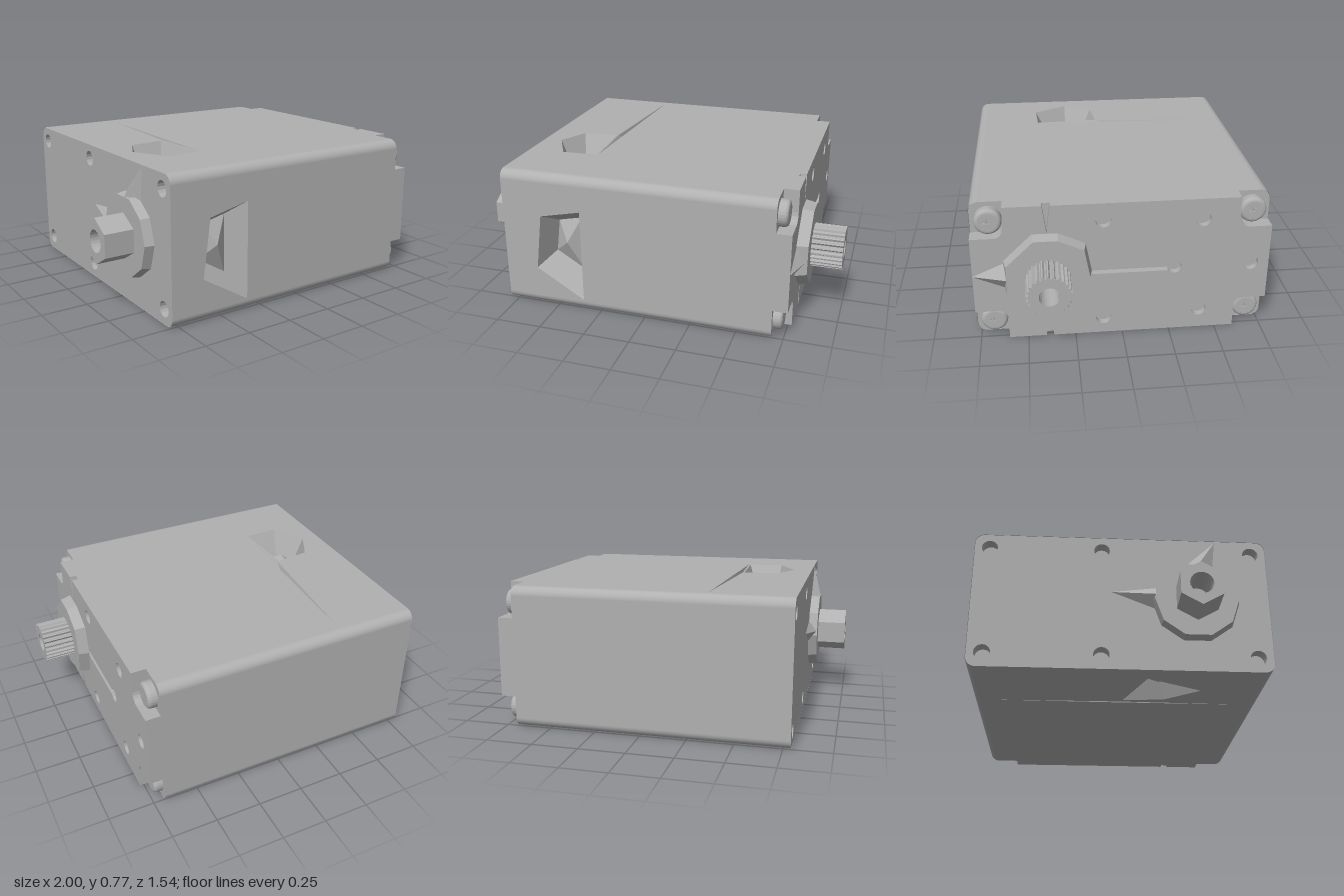
import * as THREE from 'three';

const CY = 0.395, HY = 0.385, HZ = 0.77, R = 0.05; // body mid-height, half height, half depth, edge radius
const BACK = -0.79, STEP = 0.69, FACE = 0.77;      // stations along x

export function createModel() {
  const group = new THREE.Group();
  group.name = 'servoMotor';
  const grey = new THREE.MeshStandardMaterial({ color: 0xb0b0b0, side: THREE.DoubleSide });
  grey.name = 'grey casing';

  const add = (name, geometry) => {
    const mesh = new THREE.Mesh(geometry, grey);
    mesh.name = name;
    group.add(mesh);
    return mesh;
  };

  // Shapes are given as [z, y] points and extruded along +x.
  const toShape = (pts) => new THREE.Shape(pts.map(([z, y]) => new THREE.Vector2(-z, y)));
  const circle = (z, y, r, n = 24, from = 0, sweep = Math.PI * 2) =>
    Array.from({ length: n }, (_, i) => {
      const a = from + (sweep * i) / n;
      return [z + r * Math.cos(a), y + r * Math.sin(a)];
    });
  const alongX = (name, pts, holes, x, depth, bevel = {}) => {
    const shape = toShape(pts);
    shape.holes = holes.map(toShape);
    const g = new THREE.ExtrudeGeometry(shape, { depth, bevelEnabled: false, ...bevel });
    g.rotateY(Math.PI / 2);
    g.translate(x, 0, 0);
    return add(name, g);
  };
  const roundedRect = (hz, hy, r) => [[1, 1], [-1, 1], [-1, -1], [1, -1]].flatMap(([sz, sy], k) =>
    circle(sz * (hz - r), CY + sy * (hy - r), r, 9, k * Math.PI / 2, Math.PI / 2 * 9 / 8));

  // Faceted loft from an outline to a smaller one at depth d (negative d raises it).
  const loft = (name, map, pts, d, scale, tip = d) => {
    const n = pts.length;
    const ca = pts.reduce((s, p) => s + p[0], 0) / n, cb = pts.reduce((s, p) => s + p[1], 0) / n;
    const outer = pts.map(([a, b]) => map(a, b, 0));
    const inner = pts.map(([a, b]) => map(ca + (a - ca) * scale, cb + (b - cb) * scale, d));
    const centre = map(ca, cb, tip);
    const v = [];
    for (let i = 0; i < n; i++) {
      const j = (i + 1) % n;
      v.push(...outer[i], ...outer[j], ...inner[j], ...outer[i], ...inner[j], ...inner[i]);
      v.push(...inner[i], ...inner[j], ...centre);
    }
    const g = new THREE.BufferGeometry();
    g.setAttribute('position', new THREE.Float32BufferAttribute(v, 3));
    g.computeVertexNormals();
    return add(name, g);
  };

  // Flat casing wall with openings, each lined by a pocket.
  const wall = (name, map, halfB, midB, pockets) => {
    const v2 = (p) => new THREE.Vector2(...p);
    const shape = new THREE.Shape([[BACK, midB - halfB], [STEP, midB - halfB],
      [STEP, midB + halfB], [BACK, midB + halfB]].map(v2));
    shape.holes = pockets.map((p) => new THREE.Path(p.pts.map(v2)));
    const g = new THREE.ShapeGeometry(shape);
    const pos = g.attributes.position;
    for (let i = 0; i < pos.count; i++) pos.setXYZ(i, ...map(pos.getX(i), pos.getY(i), 0));
    g.computeVertexNormals();
    add(name, g);
    pockets.forEach((p) => loft(name + 'Pocket', map, p.pts, p.d, p.scale, p.tip));
  };

  wall('topWall', (a, b, d) => [a, CY + HY - d, b], HZ - R, 0, [
    { pts: [[-0.69, 0.22], [-0.61, 0.06], [-0.415, 0.04], [-0.395, 0.4], [-0.59, 0.41]], d: 0.15, scale: 0.6, tip: 0.08 },
    { pts: [[-0.35, -0.7], [-0.405, 0.04], [-0.385, 0.4]], d: 0.04, scale: 0.3 },
  ]);
  wall('bottomWall', (a, b, d) => [a, CY - HY + d, b], HZ - R, 0, [
    { pts: [[-0.69, 0.14], [-0.4, 0.03], [-0.42, 0.25], [-0.55, 0.43]], d: 0.12, scale: 0.5, tip: 0.06 },
    { pts: [[-0.37, -0.68], [-0.38, 0], [-0.37, 0.7], [-0.366, 0]], d: 0.02, scale: 0.3 },
  ]);
  wall('frontWall', (a, b, d) => [a, b, HZ - d], HY - R, CY, [
    { pts: [[-0.61, 0.23], [-0.345, 0.07], [-0.345, 0.59], [-0.57, 0.54]], d: 0.14, scale: 0.6, tip: 0.09 },
  ]);
  wall('backWall', (a, b, d) => [a, b, -HZ + d], HY - R, CY, []);

  // Rounded long edges of the casing
  for (let k = 0; k < 4; k++) {
    const g = new THREE.CylinderGeometry(R, R, STEP - BACK, 8, 1, true, k * Math.PI / 2, Math.PI / 2);
    g.rotateZ(-Math.PI / 2);
    g.translate((BACK + STEP) / 2, CY + (k < 2 ? -1 : 1) * (HY - R), (k === 0 || k === 3 ? 1 : -1) * (HZ - R));
    add('roundedEdge', g);
  }

  // Rear end plate with six screw holes, and the step face under the gear cover
  const full = roundedRect(HZ - 0.002, HY - 0.002, R);
  const rearHoles = [-0.69, -0.1, 0.69].flatMap((z) => [0.09, 0.7].map((y) => circle(z, y, 0.042, 16)));
  alongX('rearPlate', full, rearHoles, BACK, 0.06);
  alongX('rearHoleFloor', full, [], BACK + 0.06, 0.01);
  alongX('stepFace', full, [], STEP - 0.01, 0.01);

  // Gear cover: corner cut-outs for the screws, V grooves in the raised layer
  const cover = (groove) => {
    const zi = 0.6, vi = 0.215, r = 0.05, out = [];
    const corner = (sz, sv) => {
      const arc = [0, 1, 2, 3, 4].map((i) => {
        const a = (i / 4) * Math.PI / 2;
        return [sz * (zi + r - r * Math.sin(a)), CY + sv * (vi + r - r * Math.cos(a))];
      });
      const pts = [[sz * HZ, CY + sv * vi], ...arc, [sz * zi, CY + sv * HY]];
      return sz * sv > 0 ? pts : pts.reverse();
    };
    const vee = (s) => [[0.385 + s * 0.02, CY + s * HY], [0.385, CY + s * 0.23], [0.385 - s * 0.02, CY + s * HY]];
    out.push(...corner(1, 1));
    if (groove) out.push(...vee(1));
    out.push(...corner(-1, 1), ...corner(-1, -1));
    if (groove) out.push(...vee(-1));
    out.push(...corner(1, -1));
    return out;
  };
  const coverHoles = [[0.1, 0.685], [0.1, 0.105], [-0.41, 0.665], [-0.41, 0.125], [-0.675, CY]]
    .map(([z, y]) => circle(z, y, 0.04, 20));
  const keySlot = [[0.2, CY + 0.02], ...circle(-0.27, CY, 0.038, 17, 0.55, Math.PI * 2 - 1.1 + 0.32), [0.2, CY - 0.02]];
  alongX('gearCoverBase', cover(false), [], STEP, 0.045);
  alongX('gearCover', cover(true), [...coverHoles, keySlot], STEP + 0.045, FACE - STEP - 0.045);

  // Domed cross-head screws in the four corners
  const cross = (z, y) => {
    const w = 0.011, l = 0.042;
    return [[w, l], [-w, l], [-w, w], [-l, w], [-l, -w], [-w, -w], [-w, -l], [w, -l], [w, -w], [l, -w], [l, w], [w, w]]
      .map(([a, b]) => [z + a, y + b]);
  };
  for (const z of [-0.675, 0.675]) for (const y of [0.105, 0.685]) {
    alongX('screwHead', circle(z, y, 0.07, 28), [cross(z, y)], STEP, 0.03,
      { bevelEnabled: true, bevelThickness: 0.02, bevelSize: 0.02, bevelOffset: -0.02, bevelSegments: 4 });
  }

  // Triangular fin running from a boss down to the casing face
  const fin = (name, tip, a, b, ridge) => {
    const g = new THREE.BufferGeometry();
    g.setAttribute('position', new THREE.Float32BufferAttribute(
      [tip, a, ridge, tip, ridge, b, a, b, ridge].flat(), 3));
    g.computeVertexNormals();
    add(name, g);
  };

  // Output side: faceted boss, fin and toothed shaft
  const SZ = 0.385;
  loft('outputBoss', (a, b, d) => [FACE - d, b, a],
    [[0.61, 0.48], [0.46, 0.625], [0.33, 0.625], [0.19, 0.56], [0.16, 0.395], [0.2, 0.24], [0.43, 0.165], [0.61, 0.31]],
    -0.06, 0.94);
  fin('outputFin', [FACE, CY, 0.77], [FACE, 0.47, 0.6], [FACE, 0.32, 0.6], [0.83, CY, 0.585]);
  const teeth = Array.from({ length: 100 }, (_, i) => {
    const a = (i / 100) * Math.PI * 2, r = i % 4 < 2 ? 0.116 : 0.104;
    return [SZ + r * Math.cos(a), CY + r * Math.sin(a)];
  });
  alongX('splinedShaft', teeth, [circle(SZ, CY, 0.052)], 0.82, 0.175);

  // Rear side: bearing boss, fins and hexagonal stub
  loft('rearBoss', (a, b, d) => [BACK + d, b, a], circle(SZ, CY, 0.225, 10), -0.05, 0.96);
  fin('rearTopFin', [BACK, 0.77, 0.5], [BACK, 0.59, 0.48], [BACK, 0.61, 0.33], [-0.84, 0.6, 0.4]);
  fin('rearSideFin', [BACK, 0.45, -0.05], [BACK, 0.48, 0.18], [BACK, 0.36, 0.17], [-0.835, 0.42, 0.175]);
  alongX('rearStub', circle(SZ, CY, 0.122, 6, Math.PI / 6), [circle(SZ, CY, 0.06)], -1, 0.17);

  return group;
}
